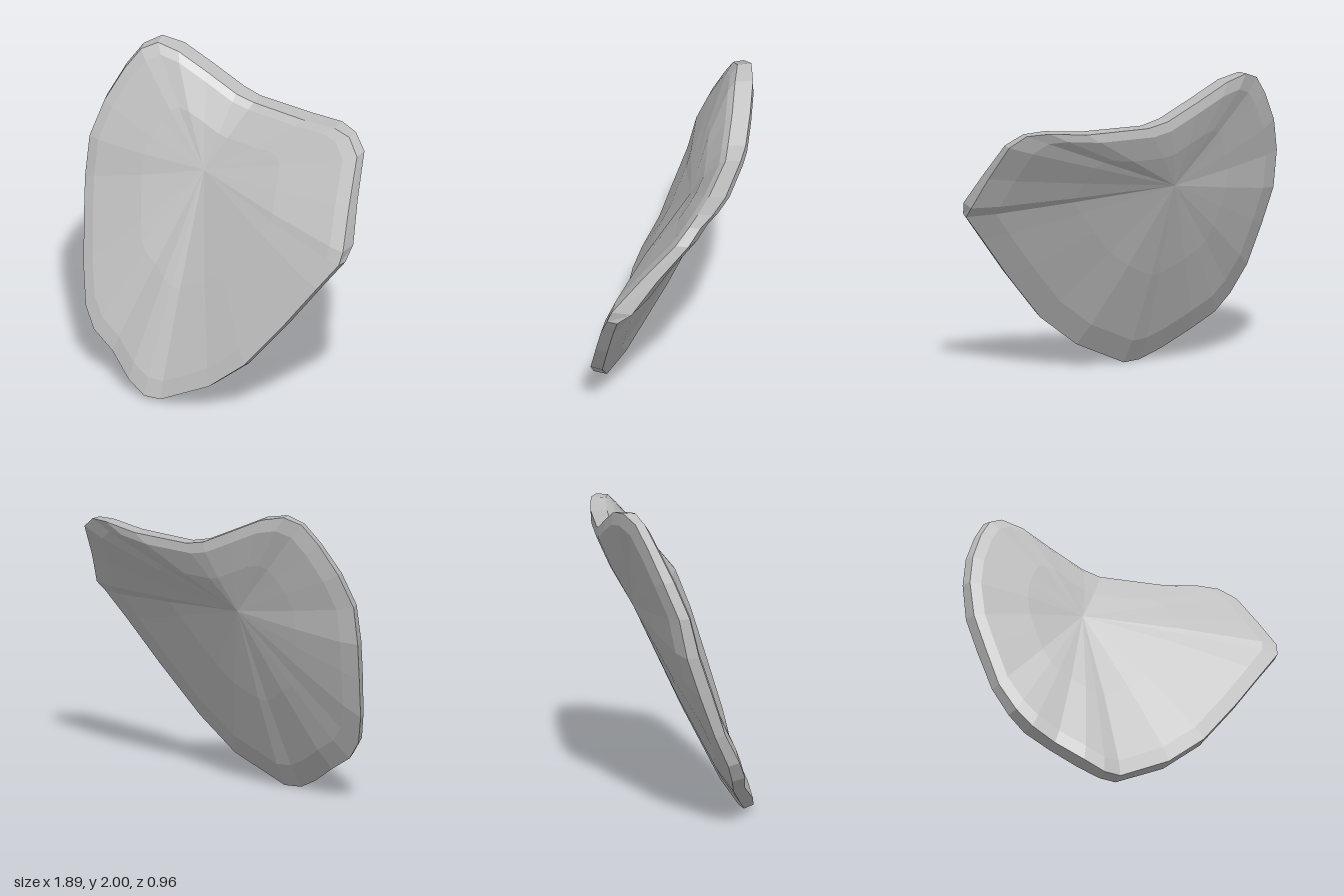
import * as THREE from 'three';

export function createModel() {
  const group = new THREE.Group();
  group.name = 'stoneShard';

  const stone = new THREE.MeshStandardMaterial({ color: 0xbfbfbf, flatShading: true });
  stone.name = 'pale grey stone';

  // Rim, counter-clockwise from the bottom tip: x, y, z of front edge, z of back edge
  const rim = [
    [-0.22, 0.005, 0.45, 0.38], [0.11, 0.17, 0.47, 0.38], [0.35, 0.37, 0.48, 0.40],
    [0.60, 0.68, 0.44, 0.36], [0.80, 0.95, 0.40, 0.32], [0.93, 1.12, 0.36, 0.29],
    [0.945, 1.2, 0.33, 0.2], [0.91, 1.42, 0.15, 0.05], [0.875, 1.66, -0.06, -0.14],
    [0.79, 1.74, -0.14, -0.21], [0.67, 1.755, -0.19, -0.28], [0.45, 1.735, -0.25, -0.35],
    [0.07, 1.74, -0.34, -0.43], [-0.05, 1.77, -0.35, -0.455], [-0.25, 1.87, -0.37, -0.475],
    [-0.45, 1.97, -0.38, -0.485], [-0.59, 2.0, -0.39, -0.47], [-0.69, 1.95, -0.36, -0.42],
    [-0.78, 1.82, -0.31, -0.37], [-0.88, 1.62, -0.23, -0.3], [-0.945, 1.4, -0.15, -0.22],
    [-0.95, 1.15, -0.09, -0.17], [-0.92, 0.9, 0.0, -0.08], [-0.88, 0.62, 0.1, 0.03],
    [-0.82, 0.42, 0.21, 0.13], [-0.74, 0.3, 0.27, 0.18], [-0.6, 0.2, 0.31, 0.23],
    [-0.45, 0.08, 0.41, 0.32], [-0.33, 0.008, 0.45, 0.38],
  ];
  const front = [-0.17, 1.33, -0.12];
  const back = [-0.2, 1.3, -0.28];

  // Rings run over the front, around the rim and down the back:
  // centre, share of the way to the rim, rim z column, bulge in z
  const rings = [
    [front, 0.5, 2, 0.03], [front, 0.9, 2, 0.02], [front, 0.985, 2, 0],
    [back, 1, 3, 0], [back, 0.87, 3, -0.03], [back, 0.5, 3, -0.03],
  ];
  const points = [...front];
  for (const [c, t, column, bulge] of rings) {
    for (const p of rim) {
      points.push(
        c[0] + (p[0] - c[0]) * t,
        c[1] + (p[1] - c[1]) * t,
        c[2] + (p[column] - c[2]) * t + bulge,
      );
    }
  }
  points.push(...back);

  const n = rim.length;
  const last = points.length / 3 - 1;
  const at = (ring, i) => 1 + ring * n + (i % n);
  const faces = [];
  for (let i = 0; i < n; i++) {
    faces.push(0, at(0, i), at(0, i + 1));
    for (let r = 0; r < rings.length - 1; r++) {
      const a = at(r, i), b = at(r + 1, i), c = at(r + 1, i + 1), d = at(r, i + 1);
      faces.push(a, b, c, a, c, d);
    }
    faces.push(last, at(rings.length - 1, i + 1), at(rings.length - 1, i));
  }

  const indexed = new THREE.BufferGeometry();
  indexed.setAttribute('position', new THREE.Float32BufferAttribute(points, 3));
  indexed.setIndex(faces);
  const geometry = indexed.toNonIndexed();
  geometry.computeVertexNormals();

  const slab = new THREE.Mesh(geometry, stone);
  slab.name = 'stoneSlab';
  group.add(slab);
  return group;
}
